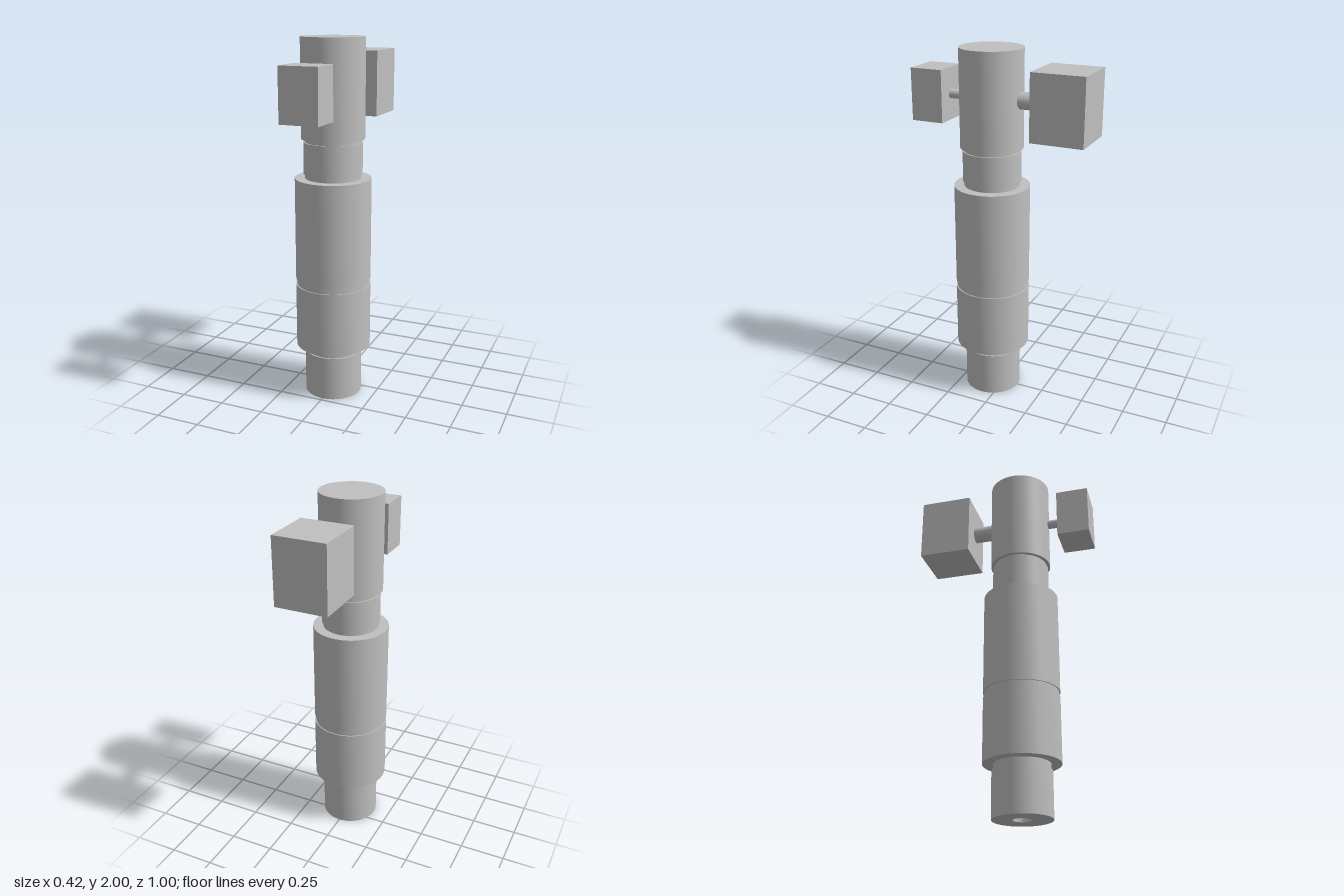
import * as THREE from 'three';
import { toCreasedNormals } from 'three/addons/utils/BufferGeometryUtils.js';

const AXIS_Z = 0.07; // the column stands slightly forward of centre
const ARM_Y = 1.735;

export function createModel() {
  const group = new THREE.Group();
  const metal = new THREE.MeshStandardMaterial({ color: 0xbfbfbf });
  metal.name = 'plain grey';

  const add = (name, geometry, x, y, z) => {
    const mesh = new THREE.Mesh(geometry, metal);
    mesh.name = name;
    mesh.position.set(x, y, z);
    group.add(mesh);
    return mesh;
  };

  // Turned sections, each profile running upward along the outside
  const turned = (name, profile) => {
    const points = profile.map(([r, y]) => new THREE.Vector2(r, y));
    add(name, toCreasedNormals(new THREE.LatheGeometry(points, 64), 0.6), 0, 0, AXIS_Z);
  };

  // Foot with a blind bore in its underside and a relief groove on top
  turned('foot', [
    [0, 0.9], [0.05, 0.9], [0.05, 0], [0.16, 0], [0.16, 0.25], [0.152, 0.25], [0.152, 0.287],
  ]);
  // Wide barrel with a shallow groove
  turned('barrel', [
    [0.152, 0.287], [0.209, 0.287], [0.209, 0.65], [0.203, 0.65],
    [0.203, 0.682], [0.209, 0.682], [0.209, 1.253], [0.152, 1.253],
  ]);
  // Neck with relief grooves at both ends
  turned('neck', [
    [0.152, 1.253], [0.152, 1.277], [0.16, 1.277], [0.16, 1.45], [0.152, 1.45], [0.152, 1.467],
  ]);
  turned('head', [[0.152, 1.467], [0.172, 1.467], [0.172, 2], [0, 2]]);

  // Blocks carried on short round arms at the front and back of the head
  const arm = (name, radius, z0, z1) => {
    const geometry = new THREE.CylinderGeometry(radius, radius, z1 - z0, 32);
    add(name, geometry, 0, ARM_Y, (z0 + z1) / 2).rotation.x = Math.PI / 2;
  };
  arm('frontArm', 0.025, 0.2, 0.32);
  add('frontBlock', new THREE.BoxGeometry(0.212, 0.284, 0.182), 0, ARM_Y, 0.405);
  arm('backArm', 0.046, -0.22, -0.06);
  add('backBlock', new THREE.BoxGeometry(0.288, 0.36, 0.292), 0, ARM_Y, -0.354);

  return group;
}
